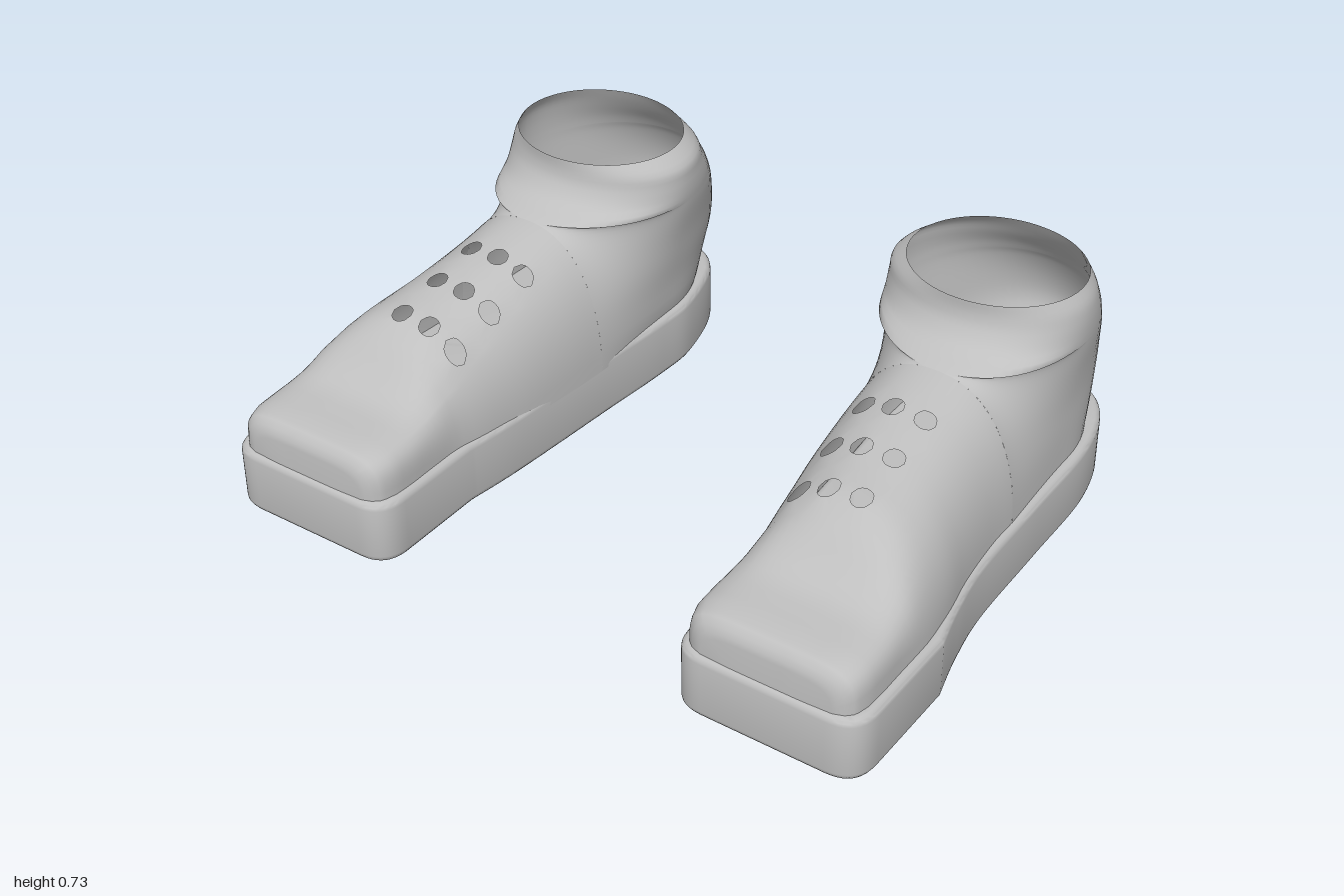
import * as THREE from 'three';
import { mergeVertices, toCreasedNormals } from 'three/addons/utils/BufferGeometryUtils.js';

const BASE = 0.16, JOIN = -0.08, RIM = 0.725, ANKLE_Z = -0.42;

// Smooth lookup through rows of [parameter, ...values]
function table(rows) {
  const size = rows[0].length - 1;
  const f = new THREE.CubicInterpolant(rows.map(r => r[0]), rows.flatMap(r => r.slice(1)), size, new Float32Array(size));
  return t => Array.from(f.evaluate(t));
}

// Forefoot sections: z, inner x, outer x, top y, squareness
const footAt = table([
  [JOIN, 0.405, 0.915, 0.575, 2.3], [0, 0.41, 0.915, 0.56, 2.3], [0.2, 0.43, 0.935, 0.52, 2.3],
  [0.3, 0.445, 0.955, 0.499, 2.3], [0.4, 0.46, 0.97, 0.478, 2.3], [0.45, 0.47, 0.975, 0.447, 2.5],
  [0.5, 0.475, 0.976, 0.405, 3], [0.55, 0.475, 0.976, 0.362, 3.6], [0.6, 0.475, 0.976, 0.336, 4.5],
  [0.7, 0.475, 0.976, 0.322, 5], [0.76, 0.485, 0.968, 0.314, 5], [0.79, 0.51, 0.945, 0.295, 5],
  [0.8, 0.54, 0.915, 0.265, 4.5],
]);

// Ankle levels: y, inner x, outer x, back z, front z
const ankleAt = table([
  [BASE, 0.41, 0.9, -0.73, JOIN], [0.2, 0.4, 0.9, -0.745, JOIN], [0.3, 0.39, 0.9, -0.79, JOIN],
  [0.38, 0.378, 0.9, -0.815, JOIN], [0.45, 0.368, 0.905, -0.805, JOIN], [0.55, 0.35, 0.917, -0.76, JOIN],
  [0.575, 0.347, 0.919, -0.742, JOIN], [0.6, 0.345, 0.92, -0.725, -0.14], [0.65, 0.347, 0.918, -0.685, -0.188],
  [0.69, 0.355, 0.91, -0.658, -0.2], [RIM, 0.4, 0.89, -0.637, -0.2],
]);

function surface(positions, index) {
  const g = new THREE.BufferGeometry();
  g.setAttribute('position', new THREE.Float32BufferAttribute(positions.flat(), 3));
  g.setIndex(index);
  const merged = mergeVertices(g, 1e-4);
  merged.computeVertexNormals();
  return merged;
}

function quad(index, a, b, c, d) { index.push(a, b, c, b, d, c); }

// Arched upper over the toes and instep, with nine round eyelet holes
function forefootGeometry() {
  const SUB = 4, SIDE = 10;
  const cellX = [0.51, 0.588, 0.682, 0.775], cellZ = [0.455, 0.305, 0.155, 0.005];
  const subdivide = edges => {
    const out = [edges[0]];
    for (let i = 0; i < 3; i++)
      for (let k = 1; k <= SUB; k++) out.push(THREE.MathUtils.lerp(edges[i], edges[i + 1], k / SUB));
    return out;
  };
  const panelX = subdivide(cellX);
  const toeZ = [0.8, 0.796, 0.79, 0.775, 0.76, 0.73, 0.7, 0.65, 0.62, 0.59, 0.56, 0.53, 0.505, 0.48];
  const zs = [...toeZ, ...subdivide(cellZ), -0.04, JOIN];
  const clamp = s => THREE.MathUtils.clamp(s, -0.86, 0.86);

  const pointAt = (x, z) => {
    const [xi, xo, top, n] = footAt(z);
    const s = Math.min(1, Math.abs((x - (xi + xo) / 2) / ((xo - xi) / 2)));
    return [x, BASE + (top - BASE) * Math.pow(1 - Math.pow(s, n), 1 / n), z];
  };
  const row = z => {
    const [xi, xo, , n] = footAt(z), cx = (xi + xo) / 2, w = (xo - xi) / 2;
    const mid = panelX.map(x => clamp((x - cx) / w));
    // even angular steps from each side of the foot up to the eyelet panel
    const side = limit => {
      const a = Math.acos(Math.sign(limit) * Math.pow(Math.abs(limit), n / 2));
      const end = limit < 0 ? Math.PI : 0;
      return Array.from({ length: SIDE }, (_, i) => {
        const c = Math.cos(THREE.MathUtils.lerp(end, a, i / SIDE));
        return Math.sign(c) * Math.pow(Math.abs(c), 2 / n);
      });
    };
    const all = [...side(mid[0]), ...mid, ...side(mid[mid.length - 1]).reverse()];
    return all.map(s => pointAt(cx + w * s, z));
  };

  // first row collapses to close the toe face
  const rows = zs.map(row);
  rows.unshift(rows[0].map(p => [0.7275 + (p[0] - 0.7275) * 0.6, BASE + (p[1] - BASE) * 0.3, 0.803]));
  rows.unshift(rows[0].map(() => [0.7275, BASE, 0.803]));
  const cols = rows[0].length, pos = rows.flat(), index = [];
  const r0 = toeZ.length + 2, c0 = SIDE, span = 3 * SUB;
  for (let r = 0; r < rows.length - 1; r++)
    for (let c = 0; c < cols - 1; c++) {
      if (r >= r0 && r < r0 + span && c >= c0 && c < c0 + span) continue;
      const a = r * cols + c;
      quad(index, a, a + 1, a + cols, a + cols + 1);
    }
  // each panel cell is a ring between its square border and a round hole
  for (let i = 0; i < 3; i++)
    for (let j = 0; j < 3; j++) {
      const cx = (cellX[j] + cellX[j + 1]) / 2, cz = (cellZ[i] + cellZ[i + 1]) / 2;
      const border = [];
      const at = (r, c) => border.push((r0 + i * SUB + r) * cols + c0 + j * SUB + c);
      for (let k = 0; k < SUB; k++) at(0, k);
      for (let k = 0; k < SUB; k++) at(k, SUB);
      for (let k = SUB; k > 0; k--) at(SUB, k);
      for (let k = SUB; k > 0; k--) at(k, 0);
      const first = pos.length, n = border.length;
      border.forEach(b => {
        const dx = pos[b][0] - cx, dz = pos[b][2] - cz, k = 0.029 / Math.hypot(dx, dz);
        pos.push(pointAt(cx + dx * k, cz + dz * k));
      });
      for (let k = 0; k < n; k++) {
        const m = (k + 1) % n;
        quad(index, border[k], border[m], first + k, first + m);
      }
    }
  return surface(pos, index);
}

// Heel bulge and collar: levels open to the forefoot below, closed loops above
function ankleGeometry() {
  const N = 64, LOW = 20, HIGH = 12;
  const [xi, xo, apex, n] = footAt(JOIN), W = (xo - xi) / 2, joinX = (xi + xo) / 2;
  const levels = [];
  for (let i = 0; i <= LOW; i++) {
    const f = (i / LOW) * Math.PI / 2;
    levels.push([BASE + (apex - BASE) * Math.pow(Math.sin(f), 2 / n), i === LOW ? 0 : W * Math.pow(Math.cos(f), 2 / n)]);
  }
  for (let i = 1; i <= HIGH; i++) levels.push([apex + (RIM - apex) * i / HIGH, 0]);

  const pos = [], index = [];
  for (const [y, a] of levels) {
    const [ai, ao, back, frontZ] = ankleAt(y);
    const w = (ao - ai) / 2, mid = (ai + ao) / 2, front = y <= apex ? JOIN : frontZ;
    const lift = THREE.MathUtils.clamp((y - apex) / (RIM - apex), 0, 1);
    const frontX = THREE.MathUtils.lerp(joinX, mid, lift), k = (1 - a / W) ** 2;
    for (let j = 0; j <= N; j++) {
      const t = Math.PI / 2 - 2 * Math.PI * j / N, s = Math.sin(t);
      let half = w * Math.abs(Math.cos(t)), cx = mid, z = ANKLE_Z + (ANKLE_Z - back) * s;
      if (s > 0) {
        const q = THREE.MathUtils.lerp(s * s * (3 - 2 * s), s * s, k);
        half = Math.sqrt(Math.max(0, w * w + (a * a - w * w) * q));
        cx = THREE.MathUtils.lerp(mid, frontX, s * s);
        z = ANKLE_Z + (front - ANKLE_Z) * s;
      }
      pos.push([cx + (j <= N / 2 ? half : -half), y, z]);
    }
  }
  for (let r = 0; r < levels.length - 1; r++)
    for (let j = 0; j < N; j++) {
      const p = r * (N + 1) + j;
      quad(index, p, p + 1, p + N + 1, p + N + 2);
    }
  return surface(pos, index);
}

// Thick sole with a square toe and rounded edges
function soleGeometry() {
  const s = new THREE.Shape();
  s.moveTo(0.457, -0.72);
  s.quadraticCurveTo(0.457, -0.815, 0.55, -0.815);
  s.lineTo(0.905, -0.815);
  s.quadraticCurveTo(1, -0.815, 1, -0.72);
  s.lineTo(1, -0.42);
  s.splineThru([[0.965, 0.28], [0.938, 0.1], [0.93, -0.2], [0.92, -0.5], [0.86, -0.69], [0.75, -0.77], [0.56, -0.77],
    [0.45, -0.69], [0.388, -0.5], [0.385, -0.35], [0.405, -0.1], [0.42, 0.1], [0.437, 0.3], [0.457, 0.45]]
    .map(([x, z]) => new THREE.Vector2(x, -z)));
  s.closePath();
  const g = new THREE.ExtrudeGeometry(s, {
    depth: 0.15, bevelThickness: 0.022, bevelSize: 0.022, bevelOffset: -0.022, bevelSegments: 4, curveSegments: 10,
  });
  g.translate(0, 0, 0.022);
  g.rotateX(-Math.PI / 2);
  return toCreasedNormals(g, 0.7);
}

export function createModel() {
  const grey = new THREE.MeshStandardMaterial({ color: 0xbfbfbf, side: THREE.DoubleSide });
  grey.name = 'grey';
  const parts = { sole: soleGeometry(), forefoot: forefootGeometry(), ankle: ankleGeometry() };
  const model = new THREE.Group();
  model.name = 'shoes';
  for (const side of [1, -1]) {
    const shoe = new THREE.Group();
    shoe.name = side > 0 ? 'leftShoe' : 'rightShoe';
    for (const [name, geometry] of Object.entries(parts)) {
      const mesh = new THREE.Mesh(geometry, grey);
      mesh.name = name;
      shoe.add(mesh);
    }
    shoe.scale.x = side;
    model.add(shoe);
  }
  return model;
}
